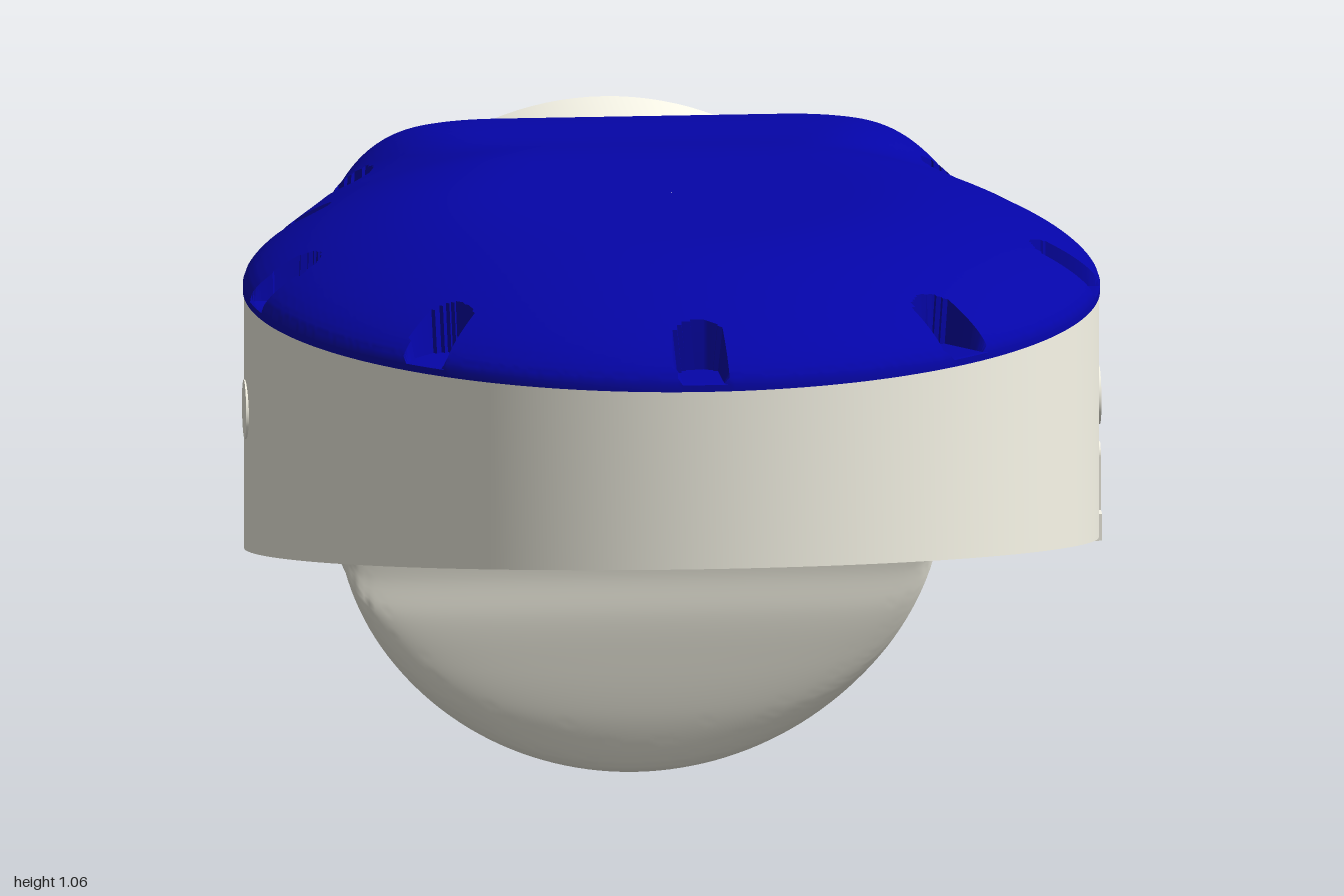
import * as THREE from 'three';
import { toCreasedNormals } from 'three/addons/utils/BufferGeometryUtils.js';

const cream = new THREE.MeshStandardMaterial({ color: 0xfaf8ea, side: THREE.DoubleSide });
const blue = new THREE.MeshStandardMaterial({ color: 0x0505a8, side: THREE.DoubleSide });
const HEAD_Z = 0.38, AXIS_Y = 0.445, R = 0.43;
const { lerp, smoothstep } = THREE.MathUtils;

// Teardrop outline in (x, z): round head, tapering sides, rounded tail corners
function teardrop() {
  const a = -0.358, s = new THREE.Shape();
  s.absarc(0, HEAD_Z, 0.618, a, Math.PI - a, false);
  s.lineTo(-0.513, -0.01);
  s.lineTo(-0.44, -0.2);
  s.quadraticCurveTo(-0.395, -0.372, -0.24, -0.372);
  s.lineTo(0.24, -0.372);
  s.quadraticCurveTo(0.395, -0.372, 0.44, -0.2);
  s.lineTo(0.513, -0.01);
  s.closePath();
  return s;
}

// Surface from rows of points; point(row, col) returns [x, y, z], columns wrap around
function loft(rows, cols, point, crease) {
  const pos = [], idx = [];
  for (let i = 0; i < rows; i++) {
    for (let j = 0; j < cols; j++) {
      pos.push(...point(i, j));
      if (i === rows - 1) continue;
      const a = i * cols + j, b = i * cols + (j + 1) % cols;
      idx.push(a, b, a + cols, b, b + cols, a + cols);
    }
  }
  const g = new THREE.BufferGeometry();
  g.setAttribute('position', new THREE.Float32BufferAttribute(pos, 3));
  g.setIndex(idx);
  return toCreasedNormals(g, crease);
}

function lathe(points, seg = 96) {
  const g = new THREE.LatheGeometry(points.map(p => new THREE.Vector2(...p)), seg);
  return toCreasedNormals(g, 0.5);
}

// Head wall with a round opening and a sloping underside
function housingGeometry() {
  const s = teardrop();
  s.holes.push(new THREE.Path().absarc(0, HEAD_Z, 0.557, 0, Math.PI * 2, true));
  const g = new THREE.ExtrudeGeometry(s, { depth: 1, bevelEnabled: false, curveSegments: 64 });
  g.rotateX(Math.PI / 2);
  const p = g.attributes.position;
  for (let i = 0; i < p.count; i++) {
    p.setY(i, p.getY(i) > -0.5 ? 0.92 : Math.max(0.469, 0.471 + 0.18 * p.getZ(i)));
  }
  return toCreasedNormals(g, 0.5);
}

// Domed cap with small pockets cut round the rim
function capGeometry() {
  const edge = teardrop().getSpacedPoints(560).slice(0, -1);
  // rim x, rim z, outward x, outward z, length
  const pockets = [[0, 1, 0, 1, 0.095]];
  for (const m of [-1, 1]) {
    pockets.push([m * 0.395, 0.855, m * 0.64, 0.77, 0.095], [m * 0.61, 0.478, m * 0.99, 0.16, 0.095],
      [m * 0.565, 0.125, m * 0.93, -0.36, 0.09], [m * 0.467, -0.135, m * 0.94, -0.34, 0.07],
      [m * 0.18, -0.377, 0, -1, 0.09]);
  }
  const inPocket = (x, z) => pockets.some(([px, pz, dx, dz, len]) => {
    const depth = (px - x) * dx + (pz - z) * dz;
    const across = Math.abs((x - px) * dz - (z - pz) * dx);
    if (depth < -0.05 || across > 0.035) return false;
    return depth < len - 0.035 || Math.hypot(depth - len + 0.035, across) < 0.035;
  });
  const rings = [0.001];
  for (let i = 1; i < 16; i++) rings.push(i * 0.8 / 16);
  for (let i = 0; i <= 36; i++) rings.push(0.8 + i * 0.2 / 36);
  rings.push(1); // skirt
  return loft(rings.length, edge.length, (i, j) => {
    const s = rings[i];
    const x = edge[j].x * s * 1.003, z = HEAD_Z + (edge[j].y - HEAD_Z) * s * 1.003;
    if (i === rings.length - 1) return [x, z < -0.2 ? 0.895 : 0.915, z];
    const lip = Math.sqrt(Math.max(0, 1 - s ** 24));
    const slope = 1 - Math.max(0, (s - 0.42) / 0.58) ** 2;
    const dome = 0.925 + 0.022 * lip + 0.113 * slope;
    // the tail is low, sloping at its sides and blunt at its end
    const tailSide = 0.925 + 0.022 * lip + 0.083 * slope;
    const tailEnd = 0.925 + 0.05 * lip + 0.055 * (1 - Math.max(0, (s - 0.62) / 0.38) ** 3);
    const tail = lerp(tailSide, tailEnd, smoothstep(-edge[j].y, 0.12, 0.34));
    let y = lerp(tail, dome, smoothstep(z, -0.12, 0.16));
    if (inPocket(x, z)) y = Math.min(y, 0.926);
    return [x, y, z];
  }, 0.5);
}

// Elbow: square section under the cap turning into the round rear tube
function elbowGeometry() {
  // front face height, top height, z
  const path = new THREE.CatmullRomCurve3([
    [0.464, 0.9, -0.178], [0.456, 0.9, -0.19], [0.438, 0.9, -0.21], [0.395, 0.9, -0.243],
    [0.34, 0.9, -0.258], [0.27, 0.9, -0.265], [0.19, 0.9, -0.28], [0.11, 0.9, -0.297], [0.02, 0.9, -0.318],
    [-0.1, 0.9, -0.34], [-0.3, 0.9, -0.37], [-0.5, 0.892, -0.395], [-0.7, 0.88, -0.42], [-1, 0.876, -0.46],
    [-1, 0.875, -0.52], [-1, 0.875, -0.6]].map(p => new THREE.Vector3(...p)));
  const stations = path.getPoints(96), n = 160;
  return loft(stations.length, n, (i, j) => {
    const { x: front, y: top, z } = stations[i];
    const a = -j / n * Math.PI * 2, c = Math.cos(a), s = Math.sin(a);
    const w = z > -0.2 ? 0.442 + (z + 0.2) * 0.375 : lerp(R, 0.442, smoothstep(z, -0.4, -0.2));
    if (s < 0) {
      // rounded meeting of the front face and the tube
      const d1 = 0.9 - front, d2 = 0.9 - AXIS_Y - R * s;
      const d = d2 * (1 + (d2 / d1) ** 14) ** (-1 / 14);
      return [w * c, 0.9 - d, z];
    }
    const k = lerp(1 / Math.max(Math.abs(c), s), 1, smoothstep(-z, 0.24, 0.59));
    return [w * c * k, Math.max(AXIS_Y + (top - AXIS_Y) * s * k, front), z];
  }, 0.7);
}

// Flat loop-shaped rim with one round end, lying in (x, y)
function slotRim(length, width, wall, depth) {
  const outline = (p, l, w) => {
    p.moveTo(-l / 2, -w / 2);
    p.lineTo(l / 2 - w / 2, -w / 2);
    p.absarc(l / 2 - w / 2, 0, w / 2, -Math.PI / 2, Math.PI / 2, false);
    p.lineTo(-l / 2, w / 2);
    p.closePath();
    return p;
  };
  const s = outline(new THREE.Shape(), length, width);
  s.holes.push(outline(new THREE.Path(), length - wall * 2, width - wall * 2));
  return new THREE.ExtrudeGeometry(s, { depth, bevelEnabled: false });
}

export function createModel() {
  const model = new THREE.Group();
  const add = (name, geometry, material = cream, x = 0, y = 0, z = 0) => {
    const m = new THREE.Mesh(geometry, material);
    m.name = name;
    m.position.set(x, y, z);
    model.add(m);
    return m;
  };

  add('headHousing', housingGeometry());
  add('cap', capGeometry(), blue);
  add('elbow', elbowGeometry());

  // Stepped recess with a central hub inside the head opening
  add('recess', lathe([[0, 0.74], [0.19, 0.74], [0.19, 0.79], [0.45, 0.79], [0.45, 0.71], [0.56, 0.71]]),
    cream, 0, 0, HEAD_Z);

  // Rear tube with collar and end disc
  const tube = lathe([[0, -1], [0.335, -1], [0.335, -0.965], [R, -0.965], [R, -0.737], [0.436, -0.735],
    [0.436, -0.73], [0.442, -0.728], [0.442, -0.625], [0.439, -0.61], [R, -0.59], [R, -0.55]], 128);
  add('rearTube', tube.rotateX(Math.PI / 2), cream, 0, AXIS_Y, 0);

  // Latch on the collar's left side
  const latch = slotRim(0.16, 0.08, 0.016, 0.035).rotateY(-Math.PI / 2).translate(0.035, 0, 0);
  add('collarLatch', latch.rotateX(Math.PI), cream, 0.414, AXIS_Y, -0.64).rotation.x = Math.PI;
  add('latchBar', new THREE.BoxGeometry(0.03, 0.026, 0.12), cream, 0.431, AXIS_Y, -0.655);

  // Round plugs on both sides of the head
  for (const side of [-1, 1]) {
    const plug = add(side > 0 ? 'leftPlug' : 'rightPlug',
      new THREE.CylinderGeometry(0.043, 0.043, 0.02, 32), cream, side * 0.61, 0.75, 0.385);
    plug.rotation.z = Math.PI / 2;
  }

  // Narrow upright slot with a wider foot under the left plug
  const slot = slotRim(0.12, 0.036, 0.008, 0.02).rotateZ(Math.PI / 2).rotateY(Math.PI / 2);
  add('headSlot', slot, cream, 0.601, 0.62, 0.385);
  add('slotFoot', new THREE.BoxGeometry(0.02, 0.04, 0.08), cream, 0.611, 0.562, 0.385);

  return model;
}
